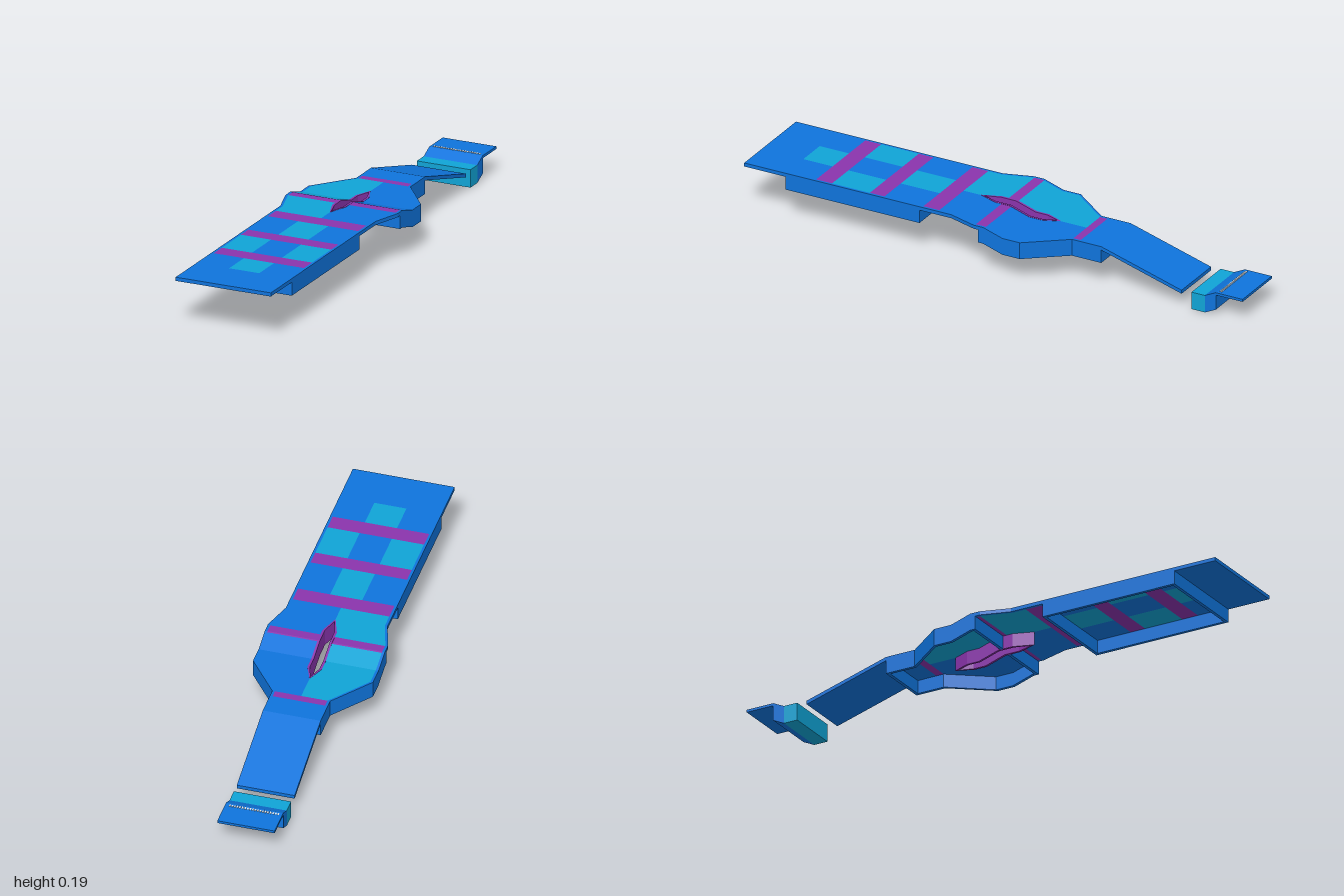
import * as THREE from 'three';

const flat = (name, color) => {
  const m = new THREE.MeshStandardMaterial({ color });
  m.name = name;
  return m;
};

// piecewise-linear curve through [z, value] points listed front to back
const curve = (pts) => (z) => {
  if (z >= pts[0][0]) return pts[0][1];
  for (let i = 1; i < pts.length; i++) {
    const [z0, v0] = pts[i - 1], [z1, v1] = pts[i];
    if (z >= z1) return v0 + (v1 - v0) * (z0 - z) / (z0 - z1);
  }
  return pts[pts.length - 1][1];
};

const topY = curve([[0, 0.185], [-0.08, 0.16], [-0.42, 0.16], [-0.75, 0.066]]);
const skirtY = curve([[0, 0.12], [-0.08, 0.095]]);
const halfW = curve([[0.15, 0.19], [0.04, 0.224], [-0.15, 0.224], [-0.3, 0.108]]);
const slotOut = curve([[0.135, 0], [0.06, 0.027], [-0.13, 0.027], [-0.195, 0]]);
const slotIn = curve([[0.122, 0], [0.06, 0.018], [-0.13, 0.018], [-0.182, 0]]);
const stations = [0.15, 0.135, 0.122, 0.06, 0.04, 0, -0.08, -0.13, -0.15, -0.182, -0.195, -0.3, -0.42];
const THICK = 0.014, RIM = 0.01;
const underY = (z) => topY(z) - THICK;
const fn = (v) => (typeof v === 'function' ? v : () => v);

// closed box-like loft with a rectangular section that varies along z
function loft(zFront, zBack, xa, xb, ya, yb) {
  [xa, xb, ya, yb] = [xa, xb, ya, yb].map(fn);
  const zs = [zFront, ...stations.filter((z) => z < zFront && z > zBack), zBack];
  const rings = zs.map((z) => {
    const l = Math.min(xa(z), xb(z)), r = Math.max(xa(z), xb(z)), b = ya(z), t = yb(z);
    return [[l, b, z], [r, b, z], [r, t, z], [l, t, z]];
  });
  const pos = [];
  const quad = (a, b, c, d) => [a, b, c, a, c, d].forEach((p) => pos.push(...p));
  quad(...rings[0]);
  for (let i = 1; i < rings.length; i++) {
    const a = rings[i - 1], b = rings[i];
    for (let k = 0; k < 4; k++) quad(a[k], b[k], b[(k + 1) % 4], a[(k + 1) % 4]);
  }
  quad(...rings[rings.length - 1].slice().reverse());
  const g = new THREE.BufferGeometry();
  g.setAttribute('position', new THREE.Float32BufferAttribute(pos, 3));
  g.computeVertexNormals();
  return g;
}

export function createModel() {
  const model = new THREE.Group();
  const blue = flat('blue', 0x0f74dc);
  const cyan = flat('cyan', 0x10a4d6);
  const purple = flat('purple', 0x8a34ac);
  const white = flat('white', 0xf0f4f8);
  const add = (name, mat, ...args) => {
    const mesh = new THREE.Mesh(loft(...args), mat);
    mesh.name = name;
    model.add(mesh);
  };

  // deck panels: front z, back z, then inner and outer colour for the -x and +x sides
  const rows = [
    [1, 0.83, blue, blue, blue, blue],
    [0.83, 0.71, cyan, blue, cyan, blue],
    [0.71, 0.645, purple, purple, purple, purple],
    [0.645, 0.49, blue, cyan, blue, cyan],
    [0.49, 0.43, purple, purple, purple, purple],
    [0.43, 0.27, cyan, blue, cyan, blue],
    [0.27, 0.205, purple, purple, purple, purple],
    [0.205, 0.035, cyan, cyan, blue, blue],
    [0.035, -0.005, purple, purple, purple, purple],
    [-0.005, -0.3, cyan, cyan, blue, blue],
    [-0.3, -0.33, purple, purple, purple, purple],
    [-0.33, -0.75, blue, blue, blue, blue],
  ];
  for (const [z0, z1, ...cols] of rows) {
    for (const s of [-1, 1]) {
      const [inner, outer] = s < 0 ? cols.slice(0, 2) : cols.slice(2);
      const a = (z) => s * slotOut(z);
      const b = (z) => s * (halfW(z) - RIM);
      if (inner === outer) {
        add('deckPanel', inner, z0, z1, a, b, underY, topY);
      } else {
        add('deckPanel', inner, z0, z1, a, s * 0.06, underY, topY);
        add('deckPanel', outer, z0, z1, s * 0.06, b, underY, topY);
      }
    }
  }

  for (const s of [-1, 1]) {
    const edge = (inset) => (z) => s * (halfW(z) - inset);
    const slot = (z) => s * slotOut(z);
    // outer rim of the deck
    add('deckRim', blue, 1, -0.75, edge(RIM), edge(0), underY, topY);
    // side skirts below the deck
    add('frontSkirtSide', blue, 0.83, 0.28, edge(0.012), edge(0), 0.12, underY);
    add('middleSkirtSide', blue, 0.02, -0.42, edge(0.012), edge(0), skirtY, underY);
    // front wall of the middle skirt, broken by the slot
    add('middleSkirtFront', blue, 0.02, 0.008, slot, edge(0.012), skirtY, underY);
    // lining of the pointed slot
    add('slotLining', purple, 0.135, -0.195, (z) => s * slotIn(z), slot, skirtY, (z) => topY(z) + 0.001);
  }

  // cross walls of the skirts
  const span = [(z) => 0.012 - halfW(z), (z) => halfW(z) - 0.012];
  add('frontSkirtWall', blue, 0.83, 0.818, ...span, 0.12, underY);
  add('frontSkirtWall', blue, 0.292, 0.28, ...span, 0.12, underY);
  add('middleSkirtBack', blue, -0.408, -0.42, ...span, skirtY, underY);

  // separate end piece behind the ramp
  const W = 0.107;
  add('endBlock', cyan, -0.79, -0.845, -W, W, 0, 0.068);
  add('endStep', blue, -0.845, -0.89, -W, W, curve([[-0.845, 0], [-0.89, 0.022]]), curve([[-0.845, 0.068], [-0.89, 0.09]]));
  add('endPlate', blue, -0.89, -1, -W, W, 0.08, 0.09);
  for (let i = 0; i < 20; i++) {
    const x = -0.095 + i * 0.0095;
    add('endDash', white, -0.897, -0.907, x, x + 0.006, 0.09, 0.0915);
  }
  return model;
}
